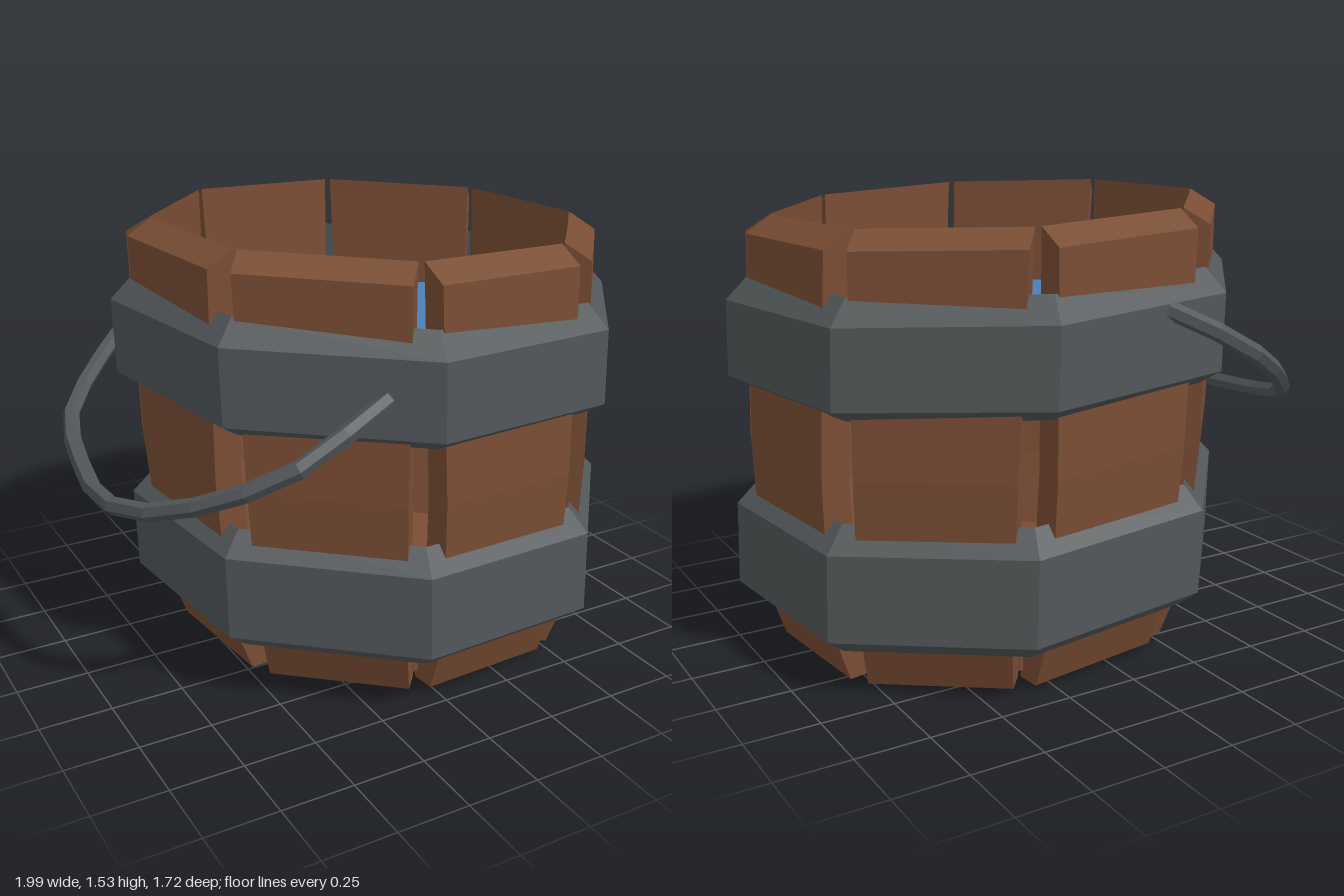
import * as THREE from 'three';

const rad = THREE.MathUtils.degToRad;
const flat = (name, color) => {
  const m = new THREE.MeshStandardMaterial({ color, flatShading: true });
  m.name = name;
  return m;
};

// The whole bucket is a little oval and leans: y drops towards +x, x drifts back with height
const lean = new THREE.Matrix4().set(
  1.02, -0.027, 0, 0.145,
  -0.037, 1, 0, 0,
  0, 0, 0.98, 0.022,
  0, 0, 0, 1
);

export function createModel() {
  const wood = flat('wood', 0x7a4d34);
  const metal = flat('iron', 0x525759);
  const water = flat('water', 0x4c80b6);
  water.side = THREE.DoubleSide;

  const model = new THREE.Group();
  model.name = 'bucket';
  const add = (name, geometry, material, leaning = true) => {
    if (leaning) geometry.applyMatrix4(lean);
    const mesh = new THREE.Mesh(geometry, material);
    mesh.name = name;
    model.add(mesh);
  };

  // Staves: one bulging side profile (distance from axis, height), given a width
  const profile = [
    [0.585, 0.03], [0.67, 0.03], [0.72, 0.17], [0.755, 0.4], [0.775, 0.75],
    [0.772, 1.1], [0.768, 1.457], [0.68, 1.512], [0.68, 0.75], [0.655, 0.4],
  ].map(([d, y]) => new THREE.Vector2(d, y));
  for (let i = 0; i < 8; i++) {
    const stave = new THREE.ExtrudeGeometry(new THREE.Shape(profile), { depth: 1, bevelEnabled: false });
    stave.translate(0, 0, -0.5);
    const p = stave.attributes.position;
    for (let j = 0; j < p.count; j++) p.setZ(j, p.getZ(j) * (0.475 + 0.045 * p.getY(j)));
    stave.rotateY(-rad(84.5 + 45 * i));
    add('stave' + (i + 1), stave, wood);
  }

  // Eight-sided hoops with sloping top and bottom edges
  const hoop = (name, inner, outer, heights, start) => {
    const [y0, y1, y2, y3] = heights;
    const points = [[inner, y0], [outer, y1], [outer, y2], [inner, y3], [inner, y0]]
      .map(([r, y]) => new THREE.Vector2(r, y));
    add(name, new THREE.LatheGeometry(points, 8, rad(start)), metal);
  };
  hoop('upperHoop', 0.81, 0.885, [0.94, 0.985, 1.242, 1.322], 75.5);
  hoop('lowerHoop', 0.79, 0.865, [0.172, 0.23, 0.52, 0.6], 73);

  // Bottom board and water surface
  const base = new THREE.CylinderGeometry(0.65, 0.65, 0.06, 8, 1, false, rad(-17));
  add('bottomBoard', base.translate(0, 0.09, 0), wood);
  const surface = new THREE.CircleGeometry(0.72, 8, rad(-107)).rotateX(-Math.PI / 2);
  add('waterSurface', surface.translate(0, 1.12, 0), water);

  // Carrying handle hanging down on one side, in a sloping plane
  const path = [
    [-0.1, -0.74], [-0.24, -0.83], [-0.4, -0.83], [-0.64, -0.67], [-0.86, -0.42],
    [-0.93, -0.15], [-0.965, 0.2], [-0.9, 0.42], [-0.76, 0.6], [-0.56, 0.74], [-0.24, 0.75],
  ].map(([x, z]) => new THREE.Vector3(x, 1.125 + 0.55 * (x + 0.24) - 0.02 * (z - 0.75), z));
  const curve = new THREE.CatmullRomCurve3(path);
  add('handle', new THREE.TubeGeometry(curve, 16, 0.03, 6), metal, false);

  return model;
}
